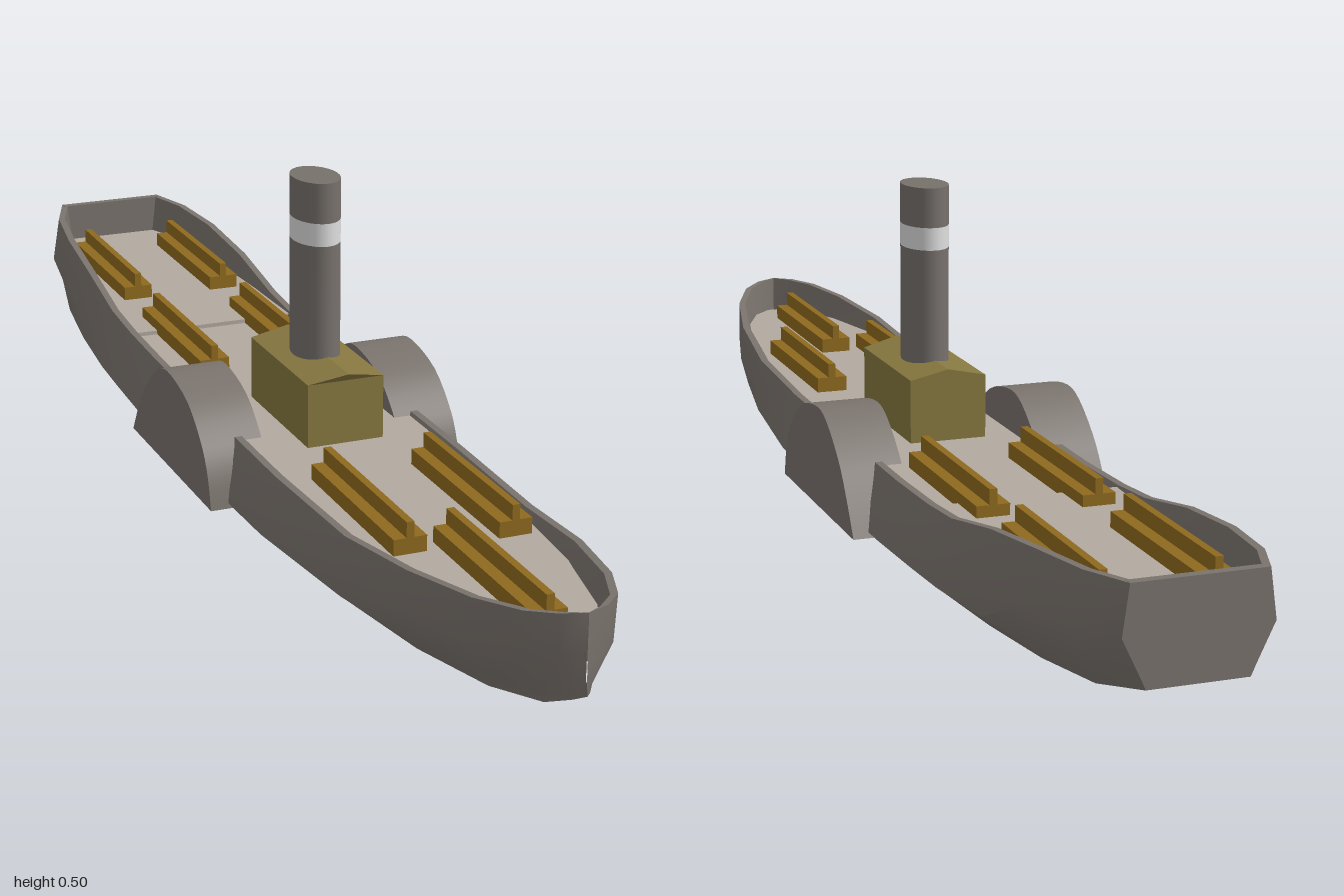
import * as THREE from 'three';
import { toCreasedNormals } from 'three/addons/utils/BufferGeometryUtils.js';

const paint = (name, color, side = THREE.FrontSide) => {
  const m = new THREE.MeshStandardMaterial({ color, side });
  m.name = name;
  return m;
};

// Hull stations from bow to stern:
// z, rim half width, rim height, middle half width, bottom half width, bottom height
const STATIONS = [
  [1.0, 0.0012, 0.16, 0.001, 0.0008, 0.06],
  [0.985, 0.036, 0.158, 0.032, 0.012, 0.03],
  [0.95, 0.07, 0.153, 0.066, 0.037, 0.014],
  [0.87, 0.105, 0.143, 0.106, 0.083, 0.008],
  [0.73, 0.135, 0.128, 0.14, 0.127, 0.006],
  [0.55, 0.15, 0.107, 0.159, 0.157, 0.004],
  [0.3, 0.158, 0.104, 0.174, 0.182, 0.002],
  [0.0, 0.158, 0.104, 0.178, 0.19, 0.002],
  [-0.25, 0.157, 0.104, 0.177, 0.189, 0.002],
  [-0.4, 0.157, 0.109, 0.176, 0.184, 0.003],
  [-0.5, 0.157, 0.117, 0.174, 0.18, 0.004],
  [-0.65, 0.154, 0.146, 0.17, 0.168, 0.006],
  [-0.8, 0.146, 0.163, 0.16, 0.148, 0.009],
  [-0.92, 0.129, 0.17, 0.142, 0.118, 0.013],
  [-1.0, 0.098, 0.174, 0.108, 0.08, 0.028],
];
const OPEN_FROM = 2, OPEN_TO = 13; // the shell is open underneath between these

// Half section: inner foot, inner rim, outer rim, side, bilge, bottom lip
function halfSection([, wt, yt, wm, wb, yb]) {
  return [
    [Math.max(wt - 0.022, 0), 0.09],
    [Math.max(wt - 0.012, 0), yt],
    [wt, yt],
    [wm, yb + (yt - yb) * 0.5],
    [wb, yb + (yt - yb) * 0.1],
    [wb * 0.92, yb],
  ];
}

const mirrored = (half) => [...half, ...half.map(([x, y]) => [-x, y]).reverse()];

function hullGeometry() {
  const pos = [], index = [];
  const rings = STATIONS.map((s) => mirrored(halfSection(s)));
  const n = rings[0].length;
  rings.forEach((ring, i) => ring.forEach(([x, y]) => pos.push(x, y, STATIONS[i][0])));
  for (let i = 0; i < rings.length - 1; i++) {
    for (let j = 0; j < n - 1; j++) {
      if (j === n / 2 - 1 && i >= OPEN_FROM && i < OPEN_TO) continue;
      const a = i * n + j, b = a + 1, c = a + n, d = c + 1;
      index.push(a, b, c, b, d, c);
    }
  }
  const g = new THREE.BufferGeometry();
  g.setAttribute('position', new THREE.Float32BufferAttribute(pos, 3));
  g.setIndex(index);
  return toCreasedNormals(g, 0.6);
}

// Horizontal slab following the hull between two stations
function slab(first, last, width, y0, y1) {
  const right = STATIONS.slice(first, last + 1).map((s) => [width(s), Math.min(-s[0], 0.99)]);
  const shape = new THREE.Shape(mirrored(right).map(([x, y]) => new THREE.Vector2(x, y)));
  const g = new THREE.ExtrudeGeometry(shape, { depth: y1 - y0, bevelEnabled: false });
  return g.rotateX(-Math.PI / 2).translate(0, y0, 0);
}

export function createModel() {
  const model = new THREE.Group();
  const hullPaint = paint('hull grey', 0x7a736d, THREE.DoubleSide);
  const funnelPaint = paint('funnel grey', 0x77716c);
  const deckPaint = paint('deck tan', 0xb2a99f);
  const floorPaint = paint('floor pale grey', 0xd2d2d2);
  const housePaint = paint('house olive', 0x877840);
  const benchPaint = paint('bench brown', 0x8f6a1e);
  const bandPaint = paint('band white', 0xdedede);

  const add = (name, geometry, material, x = 0, y = 0, z = 0, parent = model) => {
    const mesh = new THREE.Mesh(geometry, material);
    mesh.name = name;
    mesh.position.set(x, y, z);
    parent.add(mesh);
    return mesh;
  };

  // Hull shell and stern board
  add('hull', hullGeometry(), hullPaint);
  const stern = mirrored(halfSection(STATIONS[STATIONS.length - 1]).slice(2));
  const sternShape = new THREE.Shape(stern.map(([x, y]) => new THREE.Vector2(x, y)));
  add('transom', new THREE.ExtrudeGeometry(sternShape, { depth: 0.014, bevelEnabled: false }), hullPaint, 0, 0, -1);

  // Stepped deck, with the pale floor seen from beneath
  const deckWidth = (s) => s[1] - 0.013;
  const floorWidth = (s) => Math.min(s[3], (s[3] + s[4]) / 2) - 0.007;
  add('foreDeck', slab(1, 9, deckWidth, 0.085, 0.099), deckPaint);
  add('aftDeck', slab(9, 14, deckWidth, 0.085, 0.106), deckPaint);
  add('foreFloor', slab(2, 9, floorWidth, 0.05, 0.06), floorPaint);
  add('aftFloor', slab(9, 13, floorWidth, 0.055, 0.06), floorPaint);

  // Paddle boxes
  const arch = new THREE.Shape();
  arch.moveTo(-0.17, 0.004);
  arch.splineThru([[-0.155, 0.06], [-0.125, 0.105], [-0.065, 0.15], [0.02, 0.169],
    [0.075, 0.158], [0.14, 0.11], [0.18, 0.06], [0.215, 0.004]].map(([x, y]) => new THREE.Vector2(x, y)));
  arch.closePath();
  const boxGeometry = toCreasedNormals(
    new THREE.ExtrudeGeometry(arch, { depth: 0.1, bevelEnabled: false, curveSegments: 3 })
      .rotateY(Math.PI / 2), 0.6);
  add('leftPaddleBox', boxGeometry, hullPaint, 0.115);
  add('rightPaddleBox', boxGeometry, hullPaint, -0.215);

  // Engine house with a low gable roof whose ridge juts forward
  add('engineHouse', new THREE.BoxGeometry(0.128, 0.158, 0.245), housePaint, 0, 0.124, 0.0775);
  const gable = new THREE.Shape([new THREE.Vector2(-0.064, 0), new THREE.Vector2(0.064, 0), new THREE.Vector2(0, 0.014)]);
  const roof = new THREE.ExtrudeGeometry(gable, { depth: 0.245, bevelEnabled: false });
  const p = roof.attributes.position;
  for (let i = 0; i < p.count; i++) {
    if (p.getY(i) > 0.01 && p.getZ(i) > 0.2) p.setZ(i, p.getZ(i) + 0.012);
  }
  roof.computeVertexNormals();
  add('houseRoof', roof, housePaint, 0, 0.203, -0.045);

  // Oval funnel with a pale band
  const tube = (name, y0, y1, material) => {
    const g = new THREE.CylinderGeometry(0.0375, 0.0375, y1 - y0, 24);
    add(name, g, material, 0, (y0 + y1) / 2, 0.072).scale.z = 1.47;
  };
  tube('funnelLower', 0.2, 0.4, funnelPaint);
  tube('funnelBand', 0.4, 0.437, bandPaint);
  tube('funnelTop', 0.437, 0.502, funnelPaint);

  // Benches: a seat with a central back rest
  const bench = (x, z0, z1, y) => {
    const group = new THREE.Group();
    group.name = 'bench';
    group.position.set(x, y, (z0 + z1) / 2);
    add('seat', new THREE.BoxGeometry(0.052, 0.026, z1 - z0), benchPaint, 0, 0.013, 0, group);
    add('backRest', new THREE.BoxGeometry(0.012, 0.026, z1 - z0), benchPaint, 0, 0.037, 0, group);
    model.add(group);
  };
  for (const x of [-0.081, 0.085]) {
    bench(x, -0.885, -0.582, 0.104);
    bench(x, -0.48, -0.175, 0.098);
    bench(x, 0.32, 0.625, 0.098);
  }
  bench(-0.008, 0.6, 0.91, 0.098);

  return model;
}
